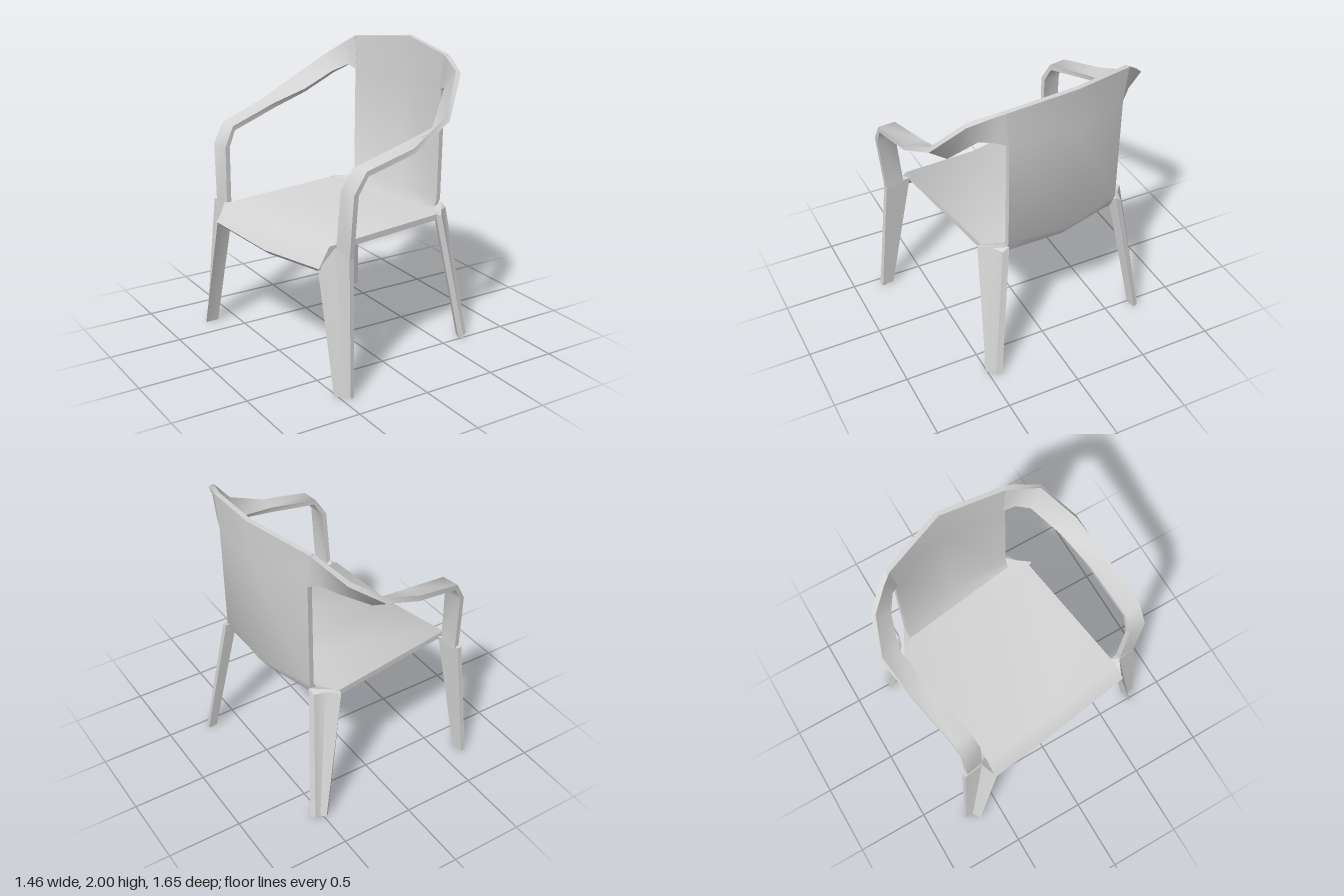
import * as THREE from 'three';
import { toCreasedNormals } from 'three/addons/utils/BufferGeometryUtils.js';

const grey = new THREE.MeshStandardMaterial({ color: 0xd3d3d3 });
grey.name = 'light grey plastic';

const V = (x, y, z) => new THREE.Vector3(x, y, z);

// Triangles of a closed ring, wound the same way as the ring
function capFaces(ring) {
  const n = V(0, 0, 0);
  ring.forEach((p, i) => n.add(p.clone().cross(ring[(i + 1) % ring.length])));
  const ax = Math.abs(n.x), ay = Math.abs(n.y), az = Math.abs(n.z);
  const flat = ring.map((p) => {
    if (ax >= ay && ax >= az) return new THREE.Vector2(p.y, p.z);
    if (ay >= az) return new THREE.Vector2(p.z, p.x);
    return new THREE.Vector2(p.x, p.y);
  });
  const clockwise = THREE.ShapeUtils.isClockWise(flat);
  return THREE.ShapeUtils.triangulateShape(flat, []).map(([a, b, c]) => (clockwise ? [a, c, b] : [a, b, c]));
}

// Closed solid skinned through matching rings of points
function loft(name, rings, crease) {
  const tris = [];
  const n = rings[0].length;
  const last = rings[rings.length - 1];
  for (let k = 0; k < rings.length - 1; k++) {
    const r = rings[k], s = rings[k + 1];
    for (let i = 0; i < n; i++) {
      const j = (i + 1) % n;
      tris.push([r[i], r[j], s[j]], [r[i], s[j], s[i]]);
    }
  }
  capFaces(rings[0]).forEach(([a, b, c]) => tris.push([rings[0][a], rings[0][c], rings[0][b]]));
  capFaces(last).forEach(([a, b, c]) => tris.push([last[a], last[b], last[c]]));

  // Turn every face outwards, also for mirrored parts
  const volume = tris.reduce((sum, [a, b, c]) => sum + a.dot(b.clone().cross(c)), 0);
  if (volume < 0) tris.forEach((t) => t.reverse());

  const geometry = new THREE.BufferGeometry().setFromPoints(tris.flat());
  const mesh = new THREE.Mesh(toCreasedNormals(geometry, crease), grey);
  mesh.name = name;
  return mesh;
}

const mirror = (rings, side) => rings.map((r) => r.map((p) => V(p.x, p.y, p.z * side)));

// The chair faces -x here; z is its width
function createSeat() {
  // x, y, half width, shift of the middle in x, underside offset in x and y
  const stations = [
    [-0.612, 0.8, 0.55, 0, 0.03, -0.03],
    [-0.52, 0.92, 0.54, 0, 0.015, -0.04],
    [0.4, 0.92, 0.54, 0, 0, -0.04],
    [0.477, 0.92, 0.42, 0.015, 0, -0.04],
  ];
  const dip = 0.042;
  return loft('seat', stations.map(([x, y, w, m, dx, dy]) => [
    V(x, y, -w), V(x + m, y - dip, 0), V(x, y, w),
    V(x + dx, y + dy, w), V(x + m + dx, y - dip + dy, 0), V(x + dx, y + dy, -w),
  ]), 1.0);
}

function createBackrest() {
  // edge x, edge y, half width, middle x, middle y (all on the rear face)
  const stations = [
    [0.505, 0.88, 0.42, 0.525, 0.84],
    [0.54, 0.97, 0.422, 0.605, 0.95],
    [0.55, 1.71, 0.425, 0.64, 1.71],
    [0.555, 1.945, 0.454, 0.65, 2.0],
  ];
  const t = 0.033;
  return loft('backrest', stations.map(([x, y, w, mx, my]) => [
    V(x, y, -w), V(mx, my, 0), V(x, y, w),
    V(x - t, y, w), V(mx - t, my, 0), V(x - t, y, -w),
  ]), 0.7);
}

// Arm bands as pairs of outer and inner edge points; the right arm bends in further
const shoulder = [
  [V(0.555, 1.945, 0.454), V(0.55, 1.71, 0.425)],
];
const leftArm = [
  ...shoulder,
  [V(0.525, 1.925, 0.52), V(0.515, 1.74, 0.5)],
  [V(0.455, 1.87, 0.655), V(0.44, 1.73, 0.565)],
  [V(0.238, 1.625, 0.783), V(0.245, 1.535, 0.663)],
  [V(-0.056, 1.475, 0.79), V(-0.04, 1.475, 0.663)],
  [V(-0.41, 1.4, 0.77), V(-0.41, 1.395, 0.649)],
  [V(-0.475, 1.29, 0.758), V(-0.47, 1.29, 0.63)],
  [V(-0.475, 0.88, 0.717), V(-0.475, 0.88, 0.588)],
];
const rightArm = [
  ...shoulder,
  [V(0.525, 1.9, 0.52), V(0.515, 1.74, 0.485)],
  [V(0.44, 1.785, 0.655), V(0.43, 1.68, 0.56)],
  [V(0.238, 1.63, 0.765), V(0.24, 1.555, 0.645)],
  [V(-0.056, 1.5, 0.745), V(-0.04, 1.49, 0.625)],
  [V(-0.41, 1.4, 0.715), V(-0.41, 1.395, 0.59)],
  [V(-0.47, 1.29, 0.706), V(-0.465, 1.29, 0.577)],
  [V(-0.47, 0.88, 0.695), V(-0.47, 0.88, 0.572)],
];

// Twisting band: vertical at the backrest, flat at the armrest, then down to the leg
function armRings(bands) {
  const centre = bands.map(([o, i]) => o.clone().add(i).multiplyScalar(0.5));
  return bands.map(([o, i], k) => {
    const along = centre[Math.min(k + 1, bands.length - 1)].clone().sub(centre[Math.max(k - 1, 0)]);
    const n = along.cross(o.clone().sub(i)).setLength(0.035);
    return [o, i, i.clone().add(n), o.clone().add(n)];
  });
}

// Legs with a folded, valley-shaped outer face: top ring, then foot ring
const frontLegRings = [
  [V(-0.61, 0.79, 0.54), V(-0.515, 0.915, 0.585), V(-0.51, 0.9, 0.717), V(-0.475, 0.9, 0.717), V(-0.475, 0.9, 0.54)],
  [V(-0.625, 0, 0.71), V(-0.568, 0, 0.735), V(-0.56, 0, 0.79), V(-0.53, 0, 0.785), V(-0.53, 0, 0.7)],
];

const rearLegRings = [
  [V(0.39, 0.915, 0.535), V(0.475, 0.915, 0.42), V(0.55, 0.945, 0.425),
    V(0.545, 0.92, 0.47), V(0.475, 0.92, 0.5), V(0.41, 0.915, 0.57)],
  [V(0.56, 0, 0.62), V(0.6, 0, 0.555), V(0.665, 0, 0.56),
    V(0.652, 0, 0.6), V(0.612, 0, 0.603), V(0.59, 0, 0.64)],
];

export function createModel() {
  const chair = new THREE.Group();
  chair.name = 'armchair';

  const body = new THREE.Group();
  body.name = 'chairBody';
  body.add(createSeat(), createBackrest());
  for (const [label, side, bands] of [['Left', 1, leftArm], ['Right', -1, rightArm]]) {
    body.add(
      loft('arm' + label, mirror(armRings(bands), side), 1.0),
      loft('frontLeg' + label, mirror(frontLegRings, side), 0.6),
      loft('rearLeg' + label, mirror(rearLegRings, side), 0.6),
    );
  }

  // The chair stands slightly turned
  body.rotation.y = THREE.MathUtils.degToRad(8.1);
  body.position.set(-0.006, 0, -0.042);
  chair.add(body);
  return chair;
}
